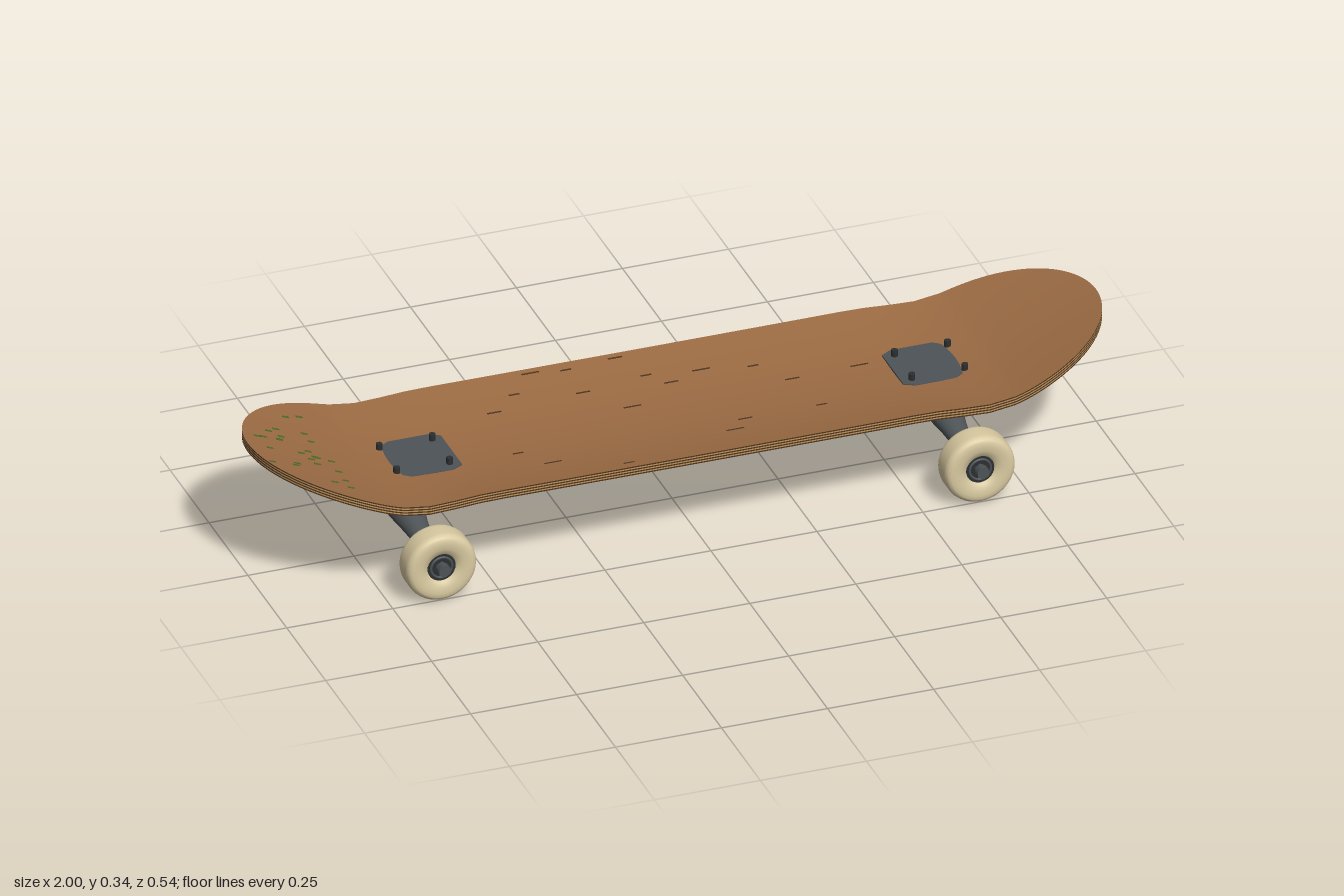
import * as THREE from 'three';

const mat = (name, color) => {
  const m = new THREE.MeshStandardMaterial({ color });
  m.name = name;
  return m;
};

// Deck shape rules: half width, top height, ply thickness
const HALF_W = 0.245, THICK = 0.022, PLIES = 7;
const halfWidth = (x) => {
  const t = Math.max(0, Math.abs(x) - 0.72) / 0.28;
  return HALF_W * Math.sqrt(Math.max(0, 1 - t * t));
};
const deckTop = (x, z) => {
  const t = Math.abs(x) - 0.7;
  const kick = 0.1925 * (t + Math.hypot(t, 0.05));
  const concave = 0.027 - 0.012 * THREE.MathUtils.smoothstep(Math.abs(x), 0.5, 0.7);
  return 0.2205 + kick + concave * (z / HALF_W) ** 2;
};

// Surface from a grid of points, facing du x dv
function grid(nu, nv, fn) {
  const pos = [], idx = [];
  for (let j = 0; j <= nv; j++) for (let i = 0; i <= nu; i++) pos.push(...fn(i, j));
  for (let j = 0; j < nv; j++) for (let i = 0; i < nu; i++) {
    const a = j * (nu + 1) + i, b = a + 1, d = a + nu + 1, c = d + 1;
    idx.push(a, b, c, a, c, d);
  }
  const g = new THREE.BufferGeometry();
  g.setAttribute('position', new THREE.Float32BufferAttribute(pos, 3));
  g.setIndex(idx);
  g.computeVertexNormals();
  return g;
}

export function createModel() {
  const wood = mat('deckWood', 0x9b6b43);
  const paleWood = mat('palePly', 0xbd935a);
  const darkWood = mat('darkPly', 0x4f351f);
  const metal = mat('truckMetal', 0x4d5356);
  const darkMetal = mat('darkMetal', 0x2c2f31);
  const urethane = mat('wheelCream', 0xd8c9a0);
  const green = mat('greenFleck', 0x4a6b2a);

  const model = new THREE.Group();
  const add = (parent, name, geo, material, x = 0, y = 0, z = 0) => {
    const m = new THREE.Mesh(geo, material);
    m.name = name;
    m.position.set(x, y, z);
    parent.add(m);
    return m;
  };

  // Stations along the deck, closer together in the rounded ends
  const right = [];
  for (let i = 0; i <= 12; i++) right.push(0.06 * i);
  for (let i = 1; i <= 24; i++) right.push(0.72 + 0.28 * Math.sin((i / 24) * Math.PI / 2));
  const xs = [...right.slice(1).reverse().map((x) => -x), ...right];
  const n = xs.length - 1;

  // Deck faces
  const deck = new THREE.Group();
  deck.name = 'deck';
  model.add(deck);
  const face = (side, drop) => grid(n, 16, (i, j) => {
    const z = side * halfWidth(xs[i]) * (1 - j / 8);
    return [xs[i], deckTop(xs[i], z) - drop, z];
  });
  add(deck, 'deckTop', face(1, 0), wood);
  add(deck, 'deckUnderside', face(-1, THICK), wood);

  // Plywood layers around the edge
  const outline = [
    ...xs.map((x) => [x, halfWidth(x)]),
    ...xs.slice(0, -1).reverse().map((x) => [x, -halfWidth(x)]),
  ];
  for (let k = 0; k < PLIES; k++) {
    const band = grid(outline.length - 1, 1, (i, j) => {
      const [x, z] = outline[i];
      return [x, deckTop(x, z) - THICK * (1 - (k + j) / PLIES), z];
    });
    add(deck, 'ply' + (k + 1), band, k % 2 ? paleWood : darkWood);
  }

  // Thin marks lying on the deck
  const mark = (name, x, z, length, width, material) => {
    const m = add(deck, name, new THREE.BoxGeometry(length, 0.002, width), material, x, deckTop(x, z), z);
    m.rotation.z = Math.atan2(deckTop(x + 0.01, z) - deckTop(x - 0.01, z), 0.02);
    m.rotation.x = -Math.atan2(deckTop(x, z + 0.01) - deckTop(x, z - 0.01), 0.02);
  };
  const scratches = [
    [-0.31, -0.17], [-0.16, -0.135], [-0.075, -0.05], [-0.005, -0.155], [0.04, -0.115],
    [0.12, -0.14], [0.235, -0.12], [0.3, -0.045], [0.46, -0.05], [0.32, 0.09],
    [0.14, 0.09], [-0.33, 0.135], [-0.385, 0.06], [-0.375, -0.12], [-0.25, -0.23],
    [-0.17, -0.22], [-0.05, -0.23], [0.1, 0.135], [-0.18, 0.215],
  ];
  scratches.forEach(([x, z], i) => mark('scratch', x, z, 0.025 + 0.008 * (i % 3), 0.004, darkWood));
  let seed = 7;
  const rnd = () => (seed = (seed * 16807) % 2147483647) / 2147483647;
  for (let i = 0; i < 26; i++) {
    const x = -0.97 + 0.17 * rnd();
    mark('greenFleck', x, (rnd() * 2 - 1) * 0.85 * halfWidth(x), 0.016, 0.006, green);
  }

  // Wheel profile: radius against half width, rounded corners
  const halfProfile = [
    [0.032, 0.022], [0.036, 0.03], [0.05, 0.034], [0.062, 0.035], [0.071, 0.034],
    [0.077, 0.031], [0.081, 0.025], [0.083, 0.017],
  ];
  const profile = [
    ...halfProfile.map(([r, w]) => new THREE.Vector2(r, -w)),
    ...halfProfile.slice().reverse().map(([r, w]) => new THREE.Vector2(r, w)),
  ];
  const wheelGeo = new THREE.LatheGeometry(profile, 40).rotateX(Math.PI / 2);
  const rod = (r, length, sides = 20) =>
    new THREE.CylinderGeometry(r, r, length, sides).rotateX(Math.PI / 2);

  // Hanger sections: z, bottom, top, half depth
  const halfHanger = [
    [0.2, 0.069, 0.099, 0.016], [0.16, 0.07, 0.105, 0.019], [0.12, 0.073, 0.115, 0.024],
    [0.08, 0.075, 0.127, 0.03], [0.04, 0.077, 0.138, 0.038],
  ];
  const hangerSections = [
    ...halfHanger.map(([z, ...s]) => [-z, ...s]),
    [0, 0.077, 0.142, 0.042],
    ...halfHanger.slice().reverse(),
  ];
  const hangerGeo = grid(24, hangerSections.length - 1, (i, j) => {
    const [z, lo, hi, d] = hangerSections[j];
    const a = (i / 24) * Math.PI * 2;
    return [d * Math.cos(a), (lo + hi) / 2 + ((hi - lo) / 2) * Math.sin(a), z];
  });

  // Plate outline with clipped inner corners (shape y runs along -z)
  const plateShape = new THREE.Shape([
    [0.52, -0.068], [0.545, -0.083], [0.7, -0.083], [0.7, 0.083], [0.545, 0.083], [0.52, 0.068],
  ].map(([x, y]) => new THREE.Vector2(x, y)));
  const plateGeo = (depth) => new THREE.ExtrudeGeometry(plateShape, { depth, bevelEnabled: false })
    .rotateX(-Math.PI / 2);

  // Block under the base plate, narrowing downwards
  const blockGeo = new THREE.BoxGeometry(0.14, 0.042, 0.102);
  const p = blockGeo.attributes.position;
  for (let i = 0; i < p.count; i++) if (p.getY(i) < 0) p.setX(i, p.getX(i) * 0.78 + 0.004);
  blockGeo.computeVertexNormals();

  const AXLE_X = 0.635, AXLE_Y = 0.0835;
  function makeTruck(name) {
    const truck = new THREE.Group();
    truck.name = name;
    add(truck, 'topPlate', plateGeo(0.012), metal, 0, 0.2145);
    add(truck, 'basePlate', plateGeo(0.012), metal, 0, 0.194);
    add(truck, 'baseBlock', blockGeo, metal, 0.622, 0.175);
    for (const x of [0.545, 0.67]) for (const z of [-0.056, 0.056]) {
      add(truck, 'bolt', new THREE.CylinderGeometry(0.0075, 0.0075, 0.06, 12), darkMetal, x, 0.212, z);
    }
    // Steering joint
    const bushing = add(truck, 'bushing', new THREE.CylinderGeometry(0.032, 0.03, 0.034, 24), metal, 0.63, 0.143);
    bushing.rotation.z = 0.15;
    add(truck, 'bushingCup', new THREE.SphereGeometry(0.03, 24, 12).scale(1, 0.5, 1), darkMetal, 0.63, 0.132);
    const pin = add(truck, 'kingpin', new THREE.CylinderGeometry(0.012, 0.012, 0.09, 6), darkMetal, 0.6, 0.135);
    pin.rotation.z = 0.35;
    // Axle and wheels
    add(truck, 'hanger', hangerGeo, metal, AXLE_X);
    add(truck, 'axle', rod(0.009, 0.54), darkMetal, AXLE_X, AXLE_Y);
    for (const s of [-1, 1]) {
      add(truck, 'wheel', wheelGeo, urethane, AXLE_X, AXLE_Y, s * 0.2255);
      add(truck, 'bearing', rod(0.033, 0.05, 28), darkMetal, AXLE_X, AXLE_Y, s * 0.2255);
      add(truck, 'bearingRing', new THREE.TorusGeometry(0.025, 0.003, 6, 28), metal, AXLE_X, AXLE_Y, s * 0.2505);
      add(truck, 'axleNut', rod(0.015, 0.024, 6), metal, AXLE_X, AXLE_Y, s * 0.26);
    }
    return truck;
  }
  model.add(makeTruck('leftTruck'));
  const rightTruck = makeTruck('rightTruck');
  rightTruck.rotation.y = Math.PI;
  model.add(rightTruck);
  return model;
}
